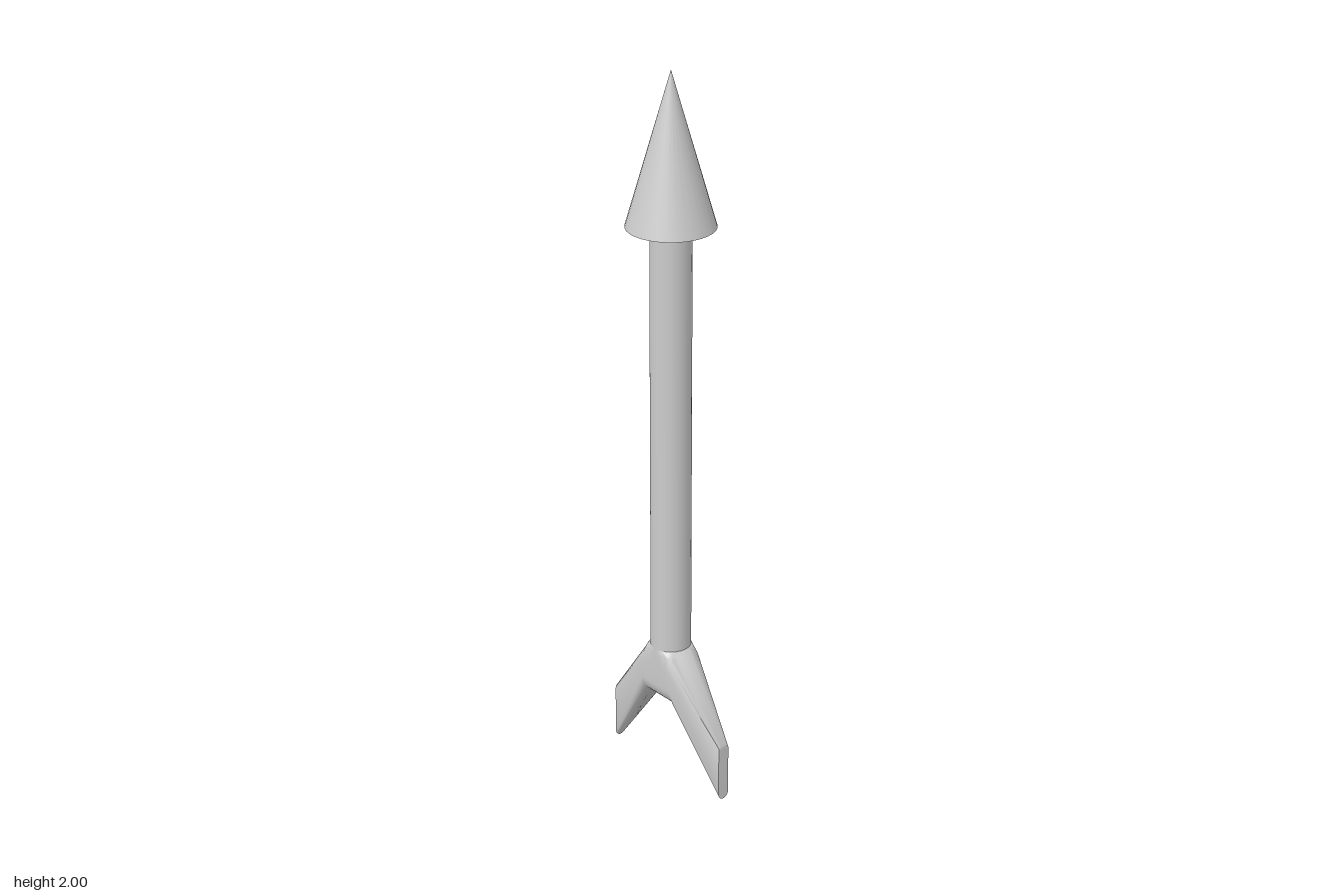
import * as THREE from 'three';
import { toCreasedNormals } from 'three/addons/utils/BufferGeometryUtils.js';

const R = 0.055; // shaft radius
const ARC = 8;   // steps per quarter round

// Rounded upright cross-section at x; "flat" is the half width left unrounded on top.
function section(x, bottom, top, half, flat) {
  const ring = [];
  const quarter = (sz, sy, from, to) => {
    for (let k = 0; k <= ARC; k++) {
      const t = (from + (to - from) * k / ARC) * Math.PI / 2;
      const f = sy > 0 ? flat : 0;
      const z = sz * (f + (half - f) * Math.cos(t));
      const y = sy > 0 ? top - half + half * Math.sin(t) : bottom + half - half * Math.sin(t);
      ring.push([x, y, z]);
    }
  };
  quarter(1, 1, 0, 1);
  quarter(-1, 1, 1, 0);
  quarter(-1, -1, 0, 1);
  quarter(1, -1, 1, 0);
  return ring;
}

// Skin a list of sections running along +x and close both ends.
function loft(rings) {
  const n = rings[0].length, index = [];
  for (let i = 0; i < rings.length - 1; i++) {
    for (let j = 0; j < n; j++) {
      const a = i * n + j, b = a + n, c = i * n + (j + 1) % n, d = c + n;
      index.push(a, b, c, b, d, c);
    }
  }
  const last = (rings.length - 1) * n;
  for (let j = 1; j < n - 1; j++) {
    index.push(0, j, j + 1, last, last + j + 1, last + j);
  }
  const g = new THREE.BufferGeometry();
  g.setAttribute('position', new THREE.Float32BufferAttribute(rings.flat(2), 3));
  g.setIndex(index);
  return toCreasedNormals(g, 1.0);
}

export function createModel() {
  const group = new THREE.Group();
  const material = new THREE.MeshStandardMaterial({ color: 0xcccccc });
  const add = (name, geometry, y = 0) => {
    const mesh = new THREE.Mesh(geometry, material);
    mesh.name = name;
    mesh.position.y = y;
    group.add(mesh);
  };

  // Pointed head and round shaft
  add('arrowHead', new THREE.ConeGeometry(0.118, 0.41, 32), 1.795);
  add('shaft', new THREE.CylinderGeometry(R, R, 1.2, 32), 0.99);

  // Forked tail: round-topped hub with two thinning, swept-down fins
  const rings = [section(-0.22, 0, 0.17, 0.017, 0)];
  const slices = 16;
  for (let i = 0; i <= slices; i++) {
    const a = (i / slices - 0.5) * Math.PI;
    rings.push(section(R * Math.sin(a), 0.225, 0.39, R, R * Math.cos(a)));
  }
  rings.push(section(0.22, 0, 0.17, 0.017, 0));
  add('forkedTail', loft(rings));

  return group;
}
